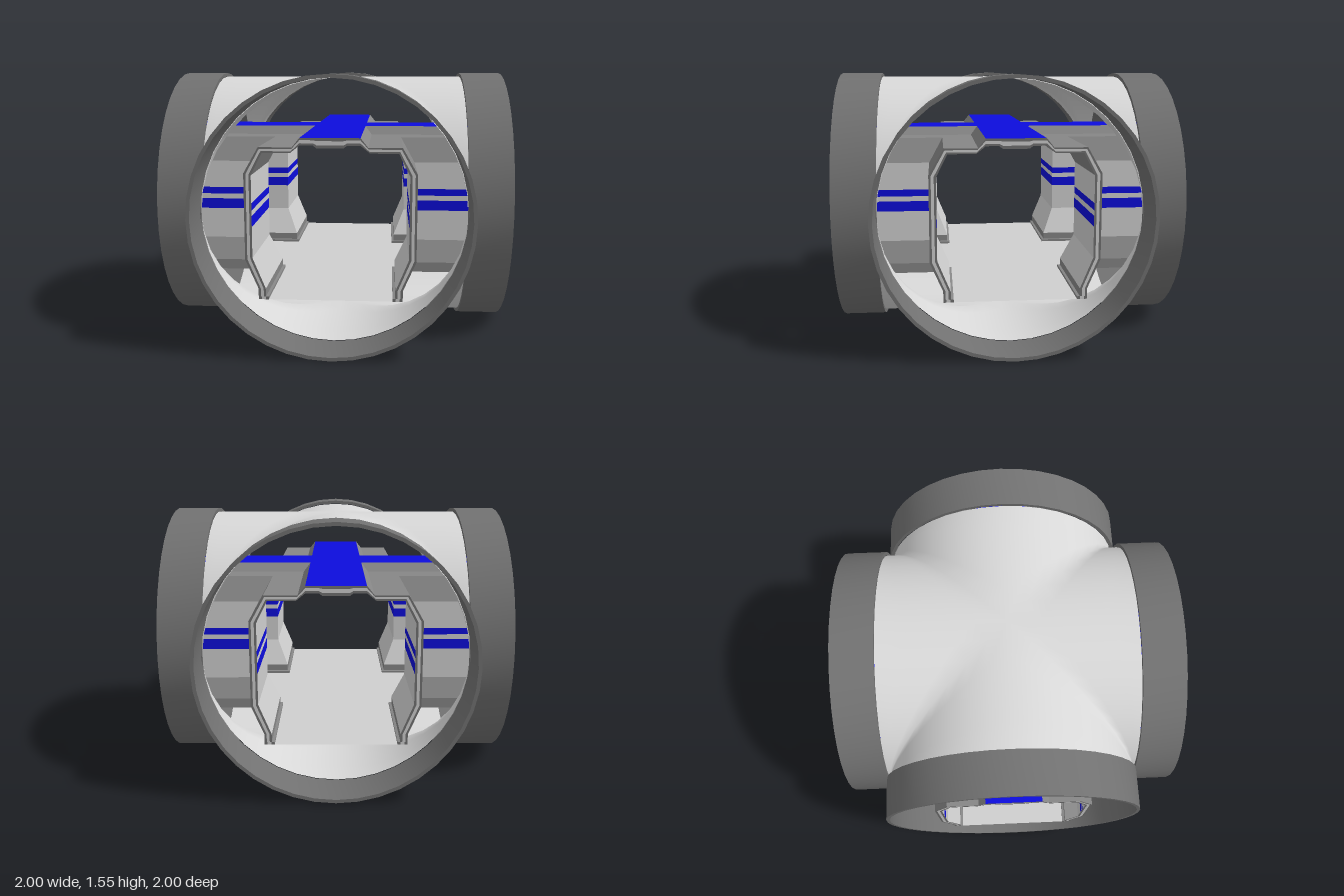
import * as THREE from 'three';
import { mergeVertices, toCreasedNormals } from 'three/addons/utils/BufferGeometryUtils.js';

const CY = 0.775;   // height of the tube axes
const END = 0.98;   // corridor arm length
const RING_IN = 0.75, SIDES = 40;

const material = (name, color) =>
  new THREE.MeshStandardMaterial({ name, color, side: THREE.DoubleSide });

// Half cross-section of the corridor, foot to ridge:
// outer x, y, inner x, y, and the part that starts at this point
const PROFILE = [
  [0.39, 0.34, 0.335, 0.34, 'base'],
  [0.39, 0.355, 0.335, 0.355, 'base'],
  [0.39, 0.357, 0.35, 0.357, 'base'],
  [0.39, 0.40, 0.35, 0.40, 'wall'],
  [0.46, 0.56, 0.42, 0.57, 'wall'],
  [0.46, 0.74, 0.42, 0.74, 'stripe'],
  [0.46, 0.80, 0.42, 0.80, 'wall'],
  [0.46, 0.83, 0.42, 0.83, 'stripe'],
  [0.46, 0.87, 0.42, 0.87, 'wall'],
  [0.46, 1.03, 0.42, 1.02, 'roof'],
  [0.38, 1.17, 0.36, 1.14, 'roof'],
  [0.20, 1.17, 0.21, 1.14, 'roof'],
  [0.16, 1.22, 0.16, 1.18, 'stripe'],
  [0.09, 1.22, 0.09, 1.18, 'stripe'],
  [0.07, 1.22, 0.07, 1.165, 'stripe'],
  [0.00, 1.22, 0.00, 1.165, 'stripe'],
];

// Turn a point about the vertical axis by k quarter turns
function turn([x, y, z], k) {
  for (let i = 0; i < k; i++) [x, z] = [z, -x];
  return [x, y, z];
}

// Smooth skin: four tube arms mitred along the diagonals
function skinGeometry() {
  const R = 0.752, rows = 4, pos = [];
  const point = (i, j, k) => {
    const a = (i % SIDES) / SIDES * Math.PI * 2;
    const x = R * Math.cos(a), w = Math.min(Math.abs(x), RING_IN);
    return turn([x, CY + R * Math.sin(a), w + (RING_IN - w) * j / rows], k);
  };
  for (let k = 0; k < 4; k++)
    for (let i = 0; i < SIDES; i++)
      for (let j = 0; j < rows; j++) {
        const a = point(i, j, k), b = point(i + 1, j, k);
        const c = point(i + 1, j + 1, k), d = point(i, j + 1, k);
        pos.push(...a, ...b, ...c, ...a, ...c, ...d);
      }
  const g = new THREE.BufferGeometry();
  g.setAttribute('position', new THREE.Float32BufferAttribute(pos, 3));
  const merged = mergeVertices(g, 1e-4);
  merged.computeVertexNormals();
  return merged;
}

// Corridor faces, gathered by part; arms are mitred on the diagonals
function corridorFaces() {
  const faces = { base: [], wall: [], stripe: [], roof: [], floor: [], frame: [], frameLine: [] };
  const quad = (part, side, k, ...corners) => {
    let p = corners.map(([x, y, z]) => turn([x * side, y, z], k));
    if (side < 0) p = p.reverse();
    for (const i of [0, 1, 2, 0, 2, 3]) faces[part].push(...p[i]);
  };
  const lerp = (a, b, t) => a + (b - a) * t;
  for (let k = 0; k < 4; k++)
    for (const side of [1, -1]) {
      for (let i = 0; i < PROFILE.length - 1; i++) {
        const [ax, ay, bx, by, part] = PROFILE[i];
        const [cx, cy, dx, dy] = PROFILE[i + 1];
        // outer and inner shell
        quad(part, side, k, [ax, ay, ax], [cx, cy, cx], [cx, cy, END], [ax, ay, END]);
        quad(part, side, k, [bx, by, END], [dx, dy, END], [dx, dy, dx], [bx, by, bx]);
        // end frame: a light line between two dark edges
        const cuts = [0, 0.3, 0.7, 1];
        for (let j = 0; j < 3; j++) {
          const at = (t, top) => top
            ? [lerp(cx, dx, t), lerp(cy, dy, t), END]
            : [lerp(ax, bx, t), lerp(ay, by, t), END];
          quad(j === 1 ? 'frameLine' : 'frame', side, k,
            at(cuts[j], false), at(cuts[j], true), at(cuts[j + 1], true), at(cuts[j + 1], false));
        }
      }
      // floor, from the centre line to the foot of the wall
      const w = 0.39, y = 0.341;
      quad('floor', side, k, [0, y, 0], [0, y, END], [w, y, END], [w, y, w]);
    }
  return faces;
}

export function createModel() {
  const model = new THREE.Group();
  model.name = 'corridorJunction';
  const ringGrey = material('ring grey', 0x717171);
  const skinGrey = material('skin grey', 0xd8d8d8);
  const wallGrey = material('wall light grey', 0xcfcfcf);
  const roofGrey = material('roof grey', 0x868686);
  const blue = material('stripe blue', 0x0d0ddc);

  const add = (name, geometry, mat, parent = model) => {
    const mesh = new THREE.Mesh(geometry, mat);
    mesh.name = name;
    parent.add(mesh);
    return mesh;
  };

  // End rings
  const section = [[0.755, 0.75], [0.775, 0.75], [0.775, 1], [0.755, 1], [0.755, 0.75]]
    .map(([r, h]) => new THREE.Vector2(r, h));
  const ring = toCreasedNormals(new THREE.LatheGeometry(section, SIDES), 0.5);
  ring.rotateX(Math.PI / 2);
  ['frontRing', 'leftRing', 'backRing', 'rightRing'].forEach((name, k) => {
    const mesh = add(name, ring, ringGrey);
    mesh.position.y = CY;
    mesh.rotation.y = k * Math.PI / 2;
  });

  // Outer skin
  add('outerSkin', skinGeometry(), skinGrey);

  // Crossing corridor
  const corridor = new THREE.Group();
  corridor.name = 'corridor';
  model.add(corridor);
  const paint = {
    base: roofGrey, wall: wallGrey, stripe: blue, roof: roofGrey,
    floor: wallGrey, frame: ringGrey, frameLine: wallGrey,
  };
  for (const [part, pos] of Object.entries(corridorFaces())) {
    const g = new THREE.BufferGeometry();
    g.setAttribute('position', new THREE.Float32BufferAttribute(pos, 3));
    g.computeVertexNormals();
    add(part, g, paint[part], corridor);
  }
  return model;
}
